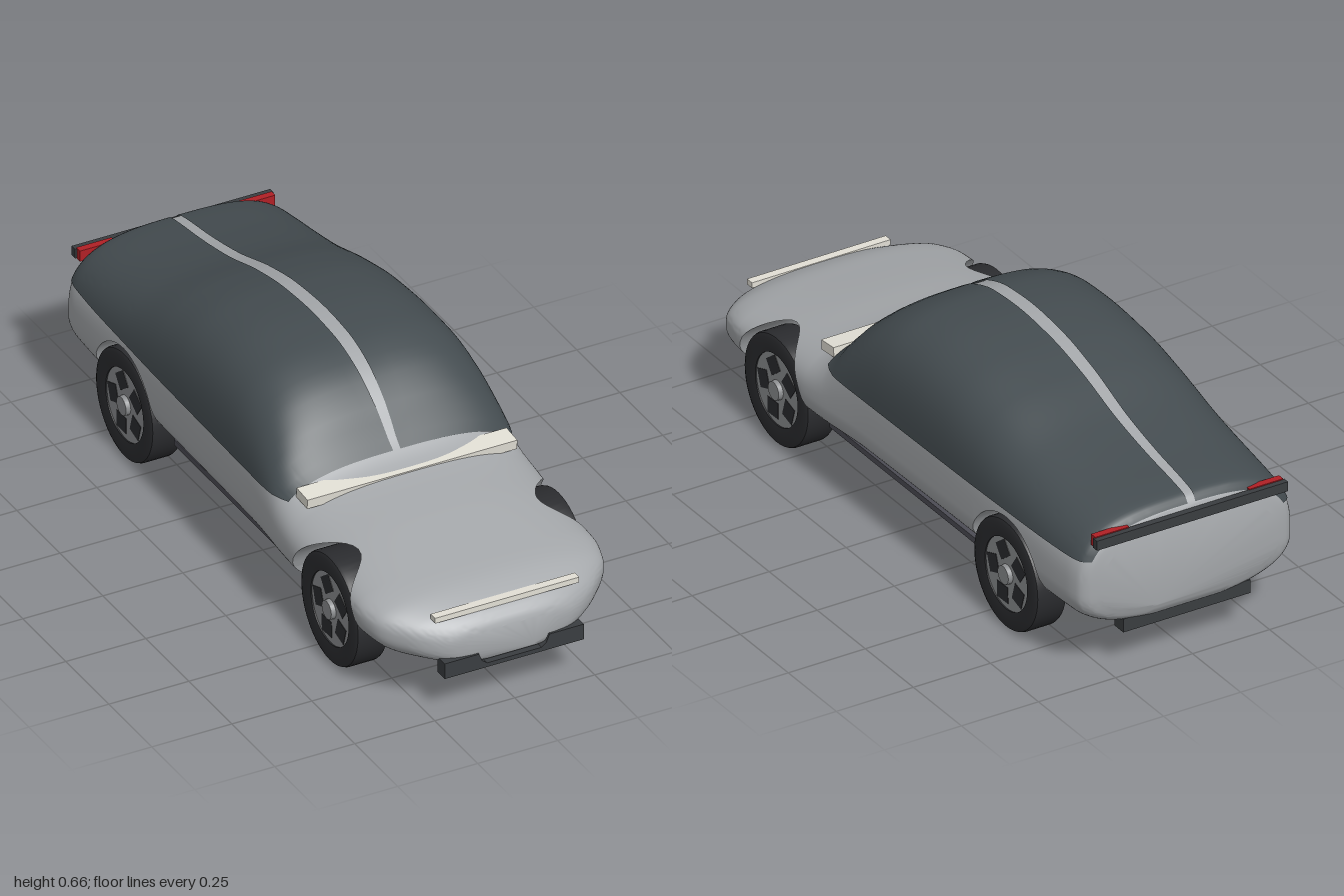
import * as THREE from 'three';
import { toCreasedNormals } from 'three/addons/utils/BufferGeometryUtils.js';

const mat = (color, side = THREE.FrontSide) => new THREE.MeshStandardMaterial({ color, side });
const paint = mat(0xa4a7aa), dark = mat(0x3a3d40), cream = mat(0xe2dfd5);
const glass = mat(0x444c50, THREE.DoubleSide), red = mat(0xb02025);
const rubber = mat(0x2b2c2f), alloy = mat(0x8c8e90), underside = mat(0x4c4c54);

const WHEEL_Z = [0.59, -0.604], WHEEL_Y = 0.168, ARCH_R = 0.18;

// Body stations: z, bottom, widest height, top, half width, upper roundness
const STATIONS = [
  [-0.986, 0.18, 0.27, 0.425, 0.285, 2.8],
  [-0.975, 0.15, 0.27, 0.46, 0.325, 2.9],
  [-0.955, 0.135, 0.27, 0.481, 0.345, 3],
  [-0.91, 0.126, 0.27, 0.492, 0.354, 3],
  [-0.77, 0.125, 0.27, 0.515, 0.36, 3.1],
  [-0.61, 0.125, 0.27, 0.55, 0.362, 3.2],
  [-0.42, 0.125, 0.27, 0.609, 0.365, 3.3],
  [-0.26, 0.125, 0.27, 0.642, 0.367, 3.4],
  [-0.1, 0.125, 0.27, 0.654, 0.369, 3.4],
  [0.03, 0.125, 0.27, 0.646, 0.371, 3.4],
  [0.14, 0.125, 0.27, 0.613, 0.373, 3.3],
  [0.25, 0.125, 0.265, 0.535, 0.378, 3.1],
  [0.335, 0.125, 0.26, 0.437, 0.383, 2.9],
  [0.41, 0.125, 0.26, 0.405, 0.386, 2.7],
  [0.59, 0.125, 0.26, 0.379, 0.375, 2.6],
  [0.77, 0.122, 0.26, 0.347, 0.374, 2.6],
  [0.85, 0.123, 0.25, 0.331, 0.358, 2.6],
  [0.925, 0.128, 0.235, 0.302, 0.295, 2.5],
  [0.965, 0.133, 0.215, 0.278, 0.235, 2.5],
  [0.985, 0.14, 0.205, 0.255, 0.185, 2.5],
  [0.992, 0.152, 0.2, 0.238, 0.14, 2.5],
];

// Monotone cubic interpolation of the station table
function station(z) {
  const S = STATIONS, last = S.length - 1;
  let i = 0;
  while (i < last - 1 && z > S[i + 1][0]) i++;
  const h = S[i + 1][0] - S[i][0], t = THREE.MathUtils.clamp((z - S[i][0]) / h, 0, 1);
  const slope = (k, c) => (S[k + 1][c] - S[k][c]) / (S[k + 1][0] - S[k][0]);
  const tangent = (k, c) => {
    if (k === 0) return slope(0, c);
    if (k === last) return slope(last - 1, c);
    const a = slope(k - 1, c), b = slope(k, c);
    return a * b > 0 ? (2 * a * b) / (a + b) : 0;
  };
  const [yb, yc, yt, w, n] = [1, 2, 3, 4, 5].map((c) => {
    const p = S[i][c], q = S[i + 1][c], t2 = t * t, t3 = t2 * t;
    return p * (2 * t3 - 3 * t2 + 1) + q * (3 * t2 - 2 * t3)
      + h * (tangent(i, c) * (t3 - 2 * t2 + t) + tangent(i + 1, c) * (t3 - t2));
  });
  return { z, yb, yc, yt, w, n };
}

// Superellipse section: angle -90deg is the keel, +90deg the roof
const LOW_N = 2.5;
function sectionPoint(s, a, mirror = 1) {
  const n = a < 0 ? LOW_N : s.n, reach = a < 0 ? s.yb - s.yc : s.yt - s.yc;
  const x = s.w * Math.pow(Math.max(0, Math.cos(a)), 2 / n);
  return [mirror * x, s.yc + reach * Math.pow(Math.abs(Math.sin(a)), 2 / n), s.z];
}
function angleAt(s, y) {
  const up = y >= s.yc, t = Math.min(1, up ? (y - s.yc) / (s.yt - s.yc) : (s.yc - y) / (s.yc - s.yb));
  return (up ? 1 : -1) * Math.asin(Math.pow(t, (up ? s.n : LOW_N) / 2));
}

// Skin over rings ordered from back to front, each counter-clockwise from the front
function loft(rings, closed) {
  const m = rings[0].length, index = [], id = (i, j) => i * m + (j % m), end = rings.length - 1;
  for (let i = 0; i < end; i++)
    for (let j = 0; j < (closed ? m : m - 1); j++) {
      const a = id(i, j), b = id(i, j + 1), c = id(i + 1, j + 1), d = id(i + 1, j);
      index.push(a, b, c, a, c, d);
    }
  if (closed) for (let j = 1; j < m - 1; j++) {
    index.push(0, j + 1, j, id(end, 0), id(end, j), id(end, j + 1));
  }
  const g = new THREE.BufferGeometry();
  g.setAttribute('position', new THREE.Float32BufferAttribute(rings.flat(2), 3));
  g.setIndex(index);
  return toCreasedNormals(g, 0.65);
}

// Ring positions: dense at both ends and around the wheel arches
function ringPositions() {
  const zs = [0.335, -0.975];
  for (let i = 0; i <= 100; i++) zs.push(0.003 + 0.989 * Math.sin((i / 100 - 0.5) * Math.PI));
  const free = zs.filter((z) => WHEEL_Z.every((c) => Math.abs(z - c) > ARCH_R + 0.002));
  for (const c of WHEEL_Z) {
    free.push(c - ARCH_R - 0.001, c + ARCH_R + 0.001);
    for (let i = 0; i <= 28; i++) free.push(c - ARCH_R * Math.cos((i / 28) * Math.PI));
  }
  return free.sort((a, b) => a - b);
}

function bodyRing(z) {
  const s = station(z), N = 44, half = [];
  let floor = s.yb + 0.003;
  for (const c of WHEEL_Z) {
    const d = Math.abs(z - c);
    if (d <= ARCH_R + 1e-6) floor = WHEEL_Y + 0.004 + Math.sqrt(Math.max(0, ARCH_R ** 2 - d * d));
  }
  const a0 = angleAt(s, floor);
  for (let j = 0; j <= N; j++) half.push(Math.max(a0, (j / N - 0.5) * Math.PI));
  return [...half.map((a) => sectionPoint(s, a)), ...half.reverse().slice(1).map((a) => sectionPoint(s, a, -1))];
}

// One half of the dark canopy; the right half stops short of the centre line
function canopyRing(z, mirror) {
  const s = station(z), N = 26;
  s.w += 0.004;
  s.yt += 0.005;
  const gap = mirror > 0 ? 0 : 0.016 + 0.09 * Math.max(0, s.yt - 0.37);
  const a0 = angleAt(s, 0.373), a1 = Math.acos(Math.pow(gap / s.w, s.n / 2)), ring = [];
  for (let j = 0; j <= N; j++) ring.push(sectionPoint(s, a0 + (a1 - a0) * (j / N), mirror));
  return mirror > 0 ? ring : ring.reverse();
}

function add(parent, name, geometry, material, x = 0, y = 0, z = 0) {
  const mesh = new THREE.Mesh(geometry, material);
  mesh.name = name;
  mesh.position.set(x, y, z);
  parent.add(mesh);
  return mesh;
}
const box = (w, h, d) => new THREE.BoxGeometry(w, h, d);

// Wheel with its axis along x, outer face towards +x
function makeWheel() {
  const wheel = new THREE.Group();
  const profile = [[0.11, -0.046], [0.155, -0.05], [0.165, -0.046], [0.168, -0.038], [0.168, 0.038],
    [0.165, 0.046], [0.155, 0.05], [0.11, 0.046], [0.11, -0.046]].map(([r, y]) => new THREE.Vector2(r, y));
  const tyre = toCreasedNormals(new THREE.LatheGeometry(profile, 48), 0.6);
  add(wheel, 'tyre', tyre, rubber).rotation.z = -Math.PI / 2;
  add(wheel, 'rim', new THREE.CylinderGeometry(0.112, 0.112, 0.084, 40), alloy).rotation.z = -Math.PI / 2;
  add(wheel, 'hubCap', new THREE.CylinderGeometry(0.028, 0.03, 0.02, 24), alloy, 0.046).rotation.z = -Math.PI / 2;
  for (let i = 0; i < 5; i++) {
    const a = (i / 5) * Math.PI * 2 + 0.3;
    const opening = add(wheel, 'rimOpening', box(0.087, 0.05, 0.056), rubber, 0, Math.cos(a) * 0.072, Math.sin(a) * 0.072);
    opening.rotation.x = a + 0.35;
  }
  return wheel;
}

export function createModel() {
  const car = new THREE.Group();
  car.name = 'car';
  const zs = ringPositions();

  // Body shell and two-piece canopy
  add(car, 'body', loft(zs.map(bodyRing), true), paint);
  const canopyZ = zs.filter((z) => z >= -0.9751 && z <= 0.3351);
  add(car, 'leftCanopy', loft(canopyZ.map((z) => canopyRing(z, 1)), false), glass);
  add(car, 'rightCanopy', loft(canopyZ.map((z) => canopyRing(z, -1)), false), glass);

  // Floor plate between the wheels
  add(car, 'floorPlate', box(0.6, 0.018, 0.83), underside, 0, 0.131, -0.008);

  // Light bars on the cowl and nose
  add(car, 'cowlBar', box(0.656, 0.03, 0.064), cream, 0, 0.398, 0.372).rotation.x = 0.08;
  add(car, 'noseLightBar', box(0.45, 0.017, 0.026), cream, 0, 0.293, 0.943);

  // Notched front bumper
  const outline = new THREE.Shape([[-0.217, 0.125], [0.217, 0.125], [0.217, 0.174], [0.11, 0.174], [0.1, 0.15],
    [0.085, 0.138], [-0.085, 0.138], [-0.1, 0.15], [-0.11, 0.174], [-0.217, 0.174]].map(([x, y]) => new THREE.Vector2(x, y)));
  add(car, 'frontBumper', new THREE.ExtrudeGeometry(outline, { depth: 0.042, bevelEnabled: false }), dark, 0, 0, 0.956);

  // Rear bar, lamps and bumper
  add(car, 'rearBar', box(0.62, 0.03, 0.02), dark, 0, 0.437, -0.99);
  for (const side of [1, -1]) add(car, 'tailLamp', box(0.11, 0.034, 0.022), red, side * 0.25, 0.438, -0.972);
  add(car, 'rearBumper', box(0.412, 0.042, 0.045), dark, 0, 0.137, -0.948);

  // Wheels
  for (const z of WHEEL_Z)
    for (const side of [1, -1]) {
      const wheel = makeWheel();
      wheel.name = (z > 0 ? 'front' : 'rear') + (side > 0 ? 'Left' : 'Right') + 'Wheel';
      wheel.position.set(side * 0.312, WHEEL_Y, z);
      if (side < 0) wheel.rotation.y = Math.PI;
      car.add(wheel);
    }
  return car;
}
